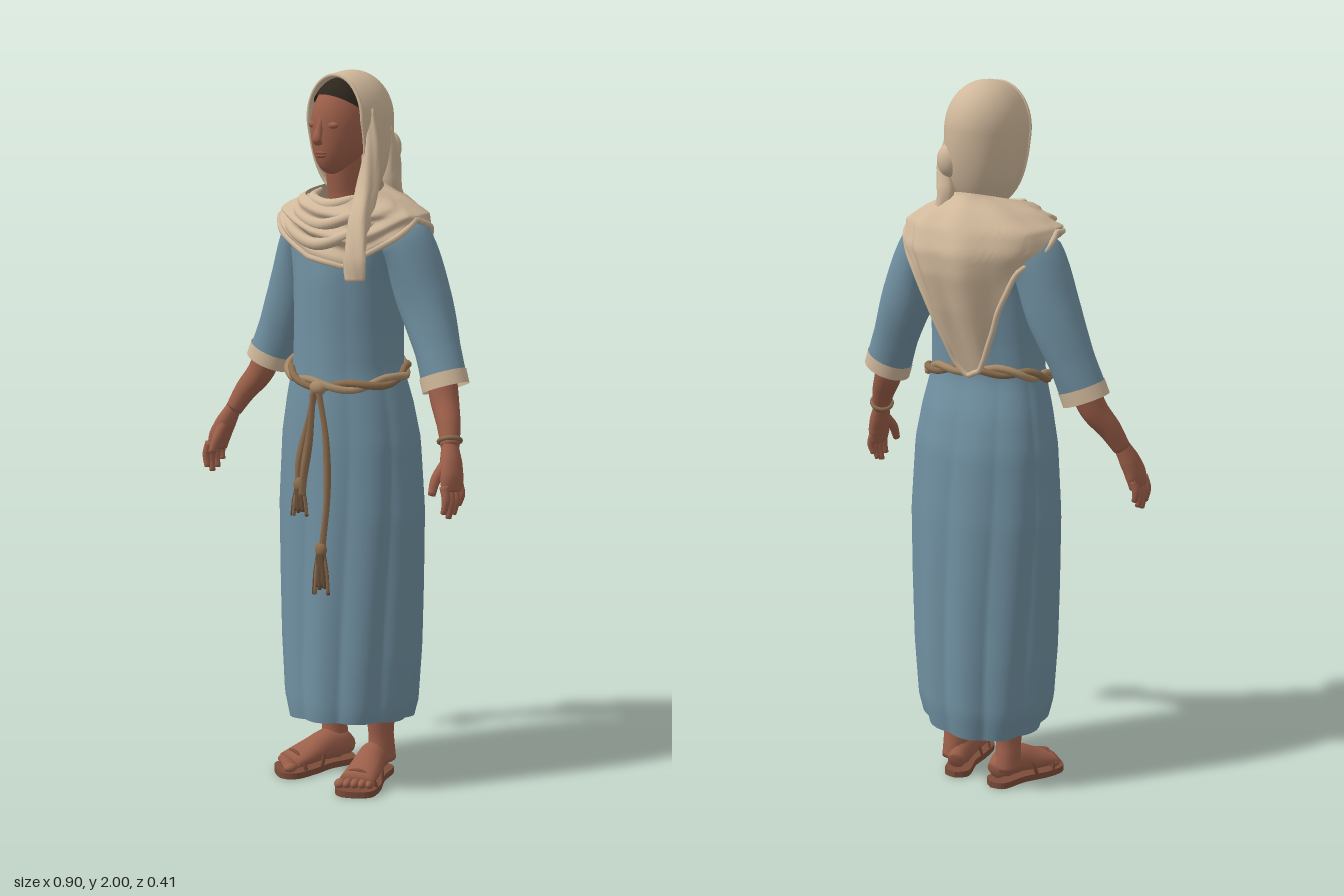
import * as THREE from 'three';

const mat = (name, color, side = THREE.FrontSide) => {
  const m = new THREE.MeshStandardMaterial({ color, side });
  m.name = name;
  return m;
};
const V = (x, y, z) => new THREE.Vector3(x, y, z);
const { lerp, clamp } = THREE.MathUtils;

// Linear lookup in rows of [key, value, value...]
function look(rows, key) {
  let i = 0;
  while (i < rows.length - 2 && key > rows[i + 1][0]) i++;
  const [a, b] = [rows[i], rows[i + 1]];
  const t = clamp((key - a[0]) / (b[0] - a[0]), 0, 1);
  return a.slice(1).map((n, k) => lerp(n, b[k + 1], t));
}

// Surface closed around u, open along v
function wrap(fn, nu, nv) {
  const pos = [], idx = [];
  for (let j = 0; j <= nv; j++)
    for (let i = 0; i < nu; i++) pos.push(...fn((i / nu) * Math.PI * 2, j / nv).toArray());
  for (let j = 0; j < nv; j++)
    for (let i = 0; i < nu; i++) {
      const a = j * nu + i, b = j * nu + ((i + 1) % nu);
      idx.push(a, b, b + nu, a, b + nu, a + nu);
    }
  const g = new THREE.BufferGeometry();
  g.setAttribute('position', new THREE.Float32BufferAttribute(pos, 3));
  g.setIndex(idx);
  g.computeVertexNormals();
  return g;
}

// Oval section swept along points; each row is [x, y, z, width radius, depth radius]
function sweep(rows, { sides = 16, n = 24, cap = true, ref = V(0, 0, 1), wave = 0 } = {}) {
  const curve = new THREE.CatmullRomCurve3(rows.map(r => V(r[0], r[1], r[2])));
  const radii = rows.map((r, i) => [i / (rows.length - 1), r[3], r[4] ?? r[3]]);
  return wrap((a, v) => {
    const j = Math.round(v * n);
    const t = cap ? clamp((j - 1) / (n - 2), 0, 1) : v;
    const T = curve.getTangent(t), U = ref.clone().cross(T).normalize(), W = T.clone().cross(U);
    const [ra, rb] = look(radii, t);
    const k = cap && (j === 0 || j === n) ? 0 : 1 + wave * Math.sin(a * 4 + t * 9);
    return curve.getPoint(t).addScaledVector(U, ra * k * Math.cos(a)).addScaledVector(W, rb * k * Math.sin(a));
  }, sides, n);
}

const oval = (phi, y, rx, front, back) =>
  V(rx * Math.sin(phi), y, Math.cos(phi) * (Math.cos(phi) > 0 ? front : back));

// Dress: height, half width, front depth, back depth
const DRESS = [
  [0.16, 0.172, 0.18, 0.165], [0.24, 0.194, 0.187, 0.177], [0.4, 0.208, 0.183, 0.177],
  [0.6, 0.216, 0.178, 0.173], [0.8, 0.221, 0.174, 0.168], [1.0, 0.21, 0.168, 0.153],
  [1.1, 0.192, 0.163, 0.13], [1.2, 0.168, 0.156, 0.095], [1.3, 0.164, 0.153, 0.102],
  [1.45, 0.168, 0.152, 0.118], [1.55, 0.19, 0.142, 0.125], [1.6, 0.19, 0.11, 0.12], [1.63, 0.12, 0.06, 0.09],
];
function dressPoint(phi, y, grow = 0) {
  const [rx, f, b] = look(DRESS, y);
  const h = clamp((1.25 - y) / 0.8, 0, 1);
  const k = 1 + (0.016 + 0.055 * h) * (Math.abs(Math.sin(5 * phi + 0.5 + 0.25 * Math.sin(y * 4))) - 0.7);
  return oval(phi, y, rx * k + grow, f * k + grow, b * k + grow);
}

// Shawl: outline by height, and lower edge by angle from the front towards the left
const SHAWL = [
  [1.2, 0.17, 0.17, 0.115], [1.3, 0.172, 0.168, 0.145], [1.4, 0.178, 0.17, 0.175], [1.5, 0.205, 0.178, 0.198],
  [1.56, 0.232, 0.168, 0.2], [1.62, 0.222, 0.145, 0.175], [1.66, 0.155, 0.118, 0.145], [1.7, 0.075, 0.09, 0.1],
];
const EDGE = [
  [0, 1.51], [30, 1.49], [60, 1.555], [90, 1.61], [125, 1.58], [150, 1.42], [167, 1.31], [176, 1.24],
  [186, 1.215], [200, 1.235], [215, 1.34], [235, 1.52], [270, 1.61], [300, 1.6], [335, 1.55], [360, 1.51],
];
function shawlPoint(phi, v) {
  const y = lerp(look(EDGE, phi * 180 / Math.PI)[0], 1.685 - 0.025 * Math.cos(phi), v);
  const [rx, f, b] = look(SHAWL, y);
  const front = Math.max(0, Math.cos(phi));
  const d = Math.sin(Math.PI * v) * (0.014 * front * Math.sin(v * 17 + 2 * Math.sin(phi))
    + 0.009 * (1 - front) * Math.sin(9 * phi + 5 * v));
  return oval(phi, y, rx + d, f + d, b + d);
}

// Hood: unit dome drawn down to the neck, its front edge falling back below the chin
function hoodPoint(x, y, z) {
  const low = Math.max(0, -y), fold = 1 + 0.035 * low * Math.sin(z * 11 + y * 5);
  return V(x * 0.106 * (1 + 0.15 * low) * fold, 1.87 + y * (y > 0 ? 0.13 : 0.23),
    z * (z > 0 ? 0.165 - 0.1 * low : 0.124) * fold);
}

export function createModel() {
  const root = new THREE.Group();
  root.name = 'robedWoman';
  const blue = mat('dressBlue', 0x7090a1, THREE.DoubleSide);
  const cream = mat('shawlCream', 0xd0b89b, THREE.DoubleSide);
  const skin = mat('skin', 0x9c5f4a);
  const lip = mat('lips', 0x8f5341);
  const dark = mat('hairDark', 0x2e261e, THREE.DoubleSide);
  const rope = mat('ropeBrown', 0x8b6c4d);
  const tan = mat('ropeTan', 0xa58867);
  const tasselBrown = mat('tasselBrown', 0x654d38);
  const leather = mat('sandalLeather', 0x7b4b39);

  const add = (name, geo, m, parent = root) => {
    const mesh = new THREE.Mesh(geo, m);
    mesh.name = name;
    parent.add(mesh);
    return mesh;
  };
  const ball = (name, m, [x, y, z], [a, b, c], parent) =>
    add(name, new THREE.SphereGeometry(1, 24, 16).scale(a, b, c).translate(x, y, z), m, parent);

  // Dress
  add('dress', wrap((p, v) => {
    const hem = 0.187 + 0.018 * Math.cos(p) + 0.015 * Math.sin(p);
    return dressPoint(p, lerp(hem, 1.63, v));
  }, 160, 60), blue);

  // Head with the jaw narrowed and brought forward, neck and face
  const headGeo = new THREE.SphereGeometry(1, 32, 24);
  const hp = headGeo.attributes.position;
  for (let i = 0; i < hp.count; i++) {
    const low = Math.max(0, -hp.getY(i));
    hp.setX(i, hp.getX(i) * (1 - 0.15 * low * low));
    hp.setZ(i, hp.getZ(i) + 0.42 * low * low);
  }
  headGeo.scale(0.078, 0.125, 0.09).translate(0, 1.85, 0.043).computeVertexNormals();
  add('head', headGeo, skin);
  add('neck', sweep([[0, 1.58, 0.01, 0.06], [0, 1.68, 0.028, 0.048], [0, 1.78, 0.038, 0.05]]), skin);
  add('nose', sweep([[0, 1.875, 0.124, 0.008], [0, 1.845, 0.134, 0.01], [0, 1.82, 0.143, 0.015, 0.011], [0, 1.808, 0.136, 0.012, 0.007]]), skin);
  ball('upperLip', lip, [0, 1.784, 0.129], [0.02, 0.005, 0.009]);
  ball('lowerLip', lip, [0, 1.776, 0.128], [0.017, 0.006, 0.009]);
  for (const s of [1, -1]) ball('eyelid', skin, [s * 0.032, 1.858, 0.117], [0.019, 0.01, 0.011]);
  add('hair', new THREE.SphereGeometry(1.07, 32, 20, 0, Math.PI * 2, 0, Math.PI * 0.4)
    .rotateX(-0.42).scale(0.078, 0.123, 0.09).translate(0, 1.85, 0.045), dark);

  // Hood, cut open around the face, with a thin rim
  const hood = new THREE.SphereGeometry(1, 48, 36, 0, Math.PI * 2, 0, Math.PI * 0.64).rotateX(-Math.PI / 2);
  const p = hood.attributes.position;
  for (let i = 0; i < p.count; i++) p.setXYZ(i, ...hoodPoint(p.getX(i), p.getY(i), p.getZ(i)).toArray());
  hood.computeVertexNormals();
  add('hood', hood, cream);
  const rim = Array.from({ length: 32 }, (_, i) => {
    const a = (i / 32) * Math.PI * 2;
    return hoodPoint(Math.cos(a) * 0.905, Math.sin(a) * 0.905, 0.426);
  });
  add('hoodRim', new THREE.TubeGeometry(new THREE.CatmullRomCurve3(rim, true), 64, 0.005, 8, true), cream);
  ball('hoodKnot', cream, [0.06, 1.79, -0.085], [0.036, 0.045, 0.032]);
  add('hoodTwist', sweep([[0.09, 1.85, -0.045, 0.01], [0.088, 1.78, -0.065, 0.02], [0.075, 1.71, -0.08, 0.026], [0.08, 1.64, -0.1, 0.02]], { wave: 0.12 }), cream);

  // Shawl with rolled lower edge, front folds and hanging end
  add('shawl', wrap(shawlPoint, 144, 30), cream);
  const edge = Array.from({ length: 60 }, (_, i) => shawlPoint((i / 60) * Math.PI * 2, 0));
  add('shawlEdge', new THREE.TubeGeometry(new THREE.CatmullRomCurve3(edge, true), 160, 0.008, 8, true), cream);
  [[0.095, 1.675, 1.645, 0.115], [0.14, 1.655, 1.595, 0.15], [0.17, 1.63, 1.545, 0.168]].forEach(([w, top, dip, z]) =>
    add('cowlFold', sweep([[-w, top, 0.02, 0.005], [-w * 0.65, lerp(top, dip, 0.55), z * 0.78, 0.014], [0.02, dip, z, 0.017],
      [w * 0.75, lerp(top, dip, 0.55), z * 0.78, 0.014], [w, top, 0.02, 0.005]], { ref: V(0, 1, 0), n: 32 }), cream));
  add('shawlEnd', sweep([[0.092, 1.9, 0.03, 0.01], [0.104, 1.8, 0.04, 0.02], [0.112, 1.7, 0.065, 0.028],
    [0.132, 1.6, 0.125, 0.03, 0.024], [0.145, 1.51, 0.158, 0.036, 0.02], [0.15, 1.455, 0.162, 0.028, 0.014]], { wave: 0.15, sides: 24, n: 36 }), cream);

  // Rope belt: two twisted strands, knot, cords and tassels
  for (const s of [1, -1]) {
    const pts = Array.from({ length: 72 }, (_, i) => {
      const a = (i / 72) * Math.PI * 2;
      return dressPoint(a, 1.195 - 0.032 * Math.cos(a) - 0.012 * Math.sin(a) + s * 0.009 * Math.cos(5 * a), 0.007 + s * 0.005 * Math.sin(5 * a));
    });
    add('beltStrand', new THREE.TubeGeometry(new THREE.CatmullRomCurve3(pts, true), 160, 0.0105, 8, true), s > 0 ? tan : rope);
  }
  ball('beltKnot', tan, [0.025, 1.155, 0.17], [0.026, 0.02, 0.018]);
  const cord = rows => add('cord', sweep(rows, { sides: 8, n: 30, wave: 0.15 }), rope);
  cord([[0.02, 1.15, 0.174, 0.009], [-0.01, 1.04, 0.176, 0.01], [-0.035, 0.94, 0.18, 0.011], [-0.037, 0.85, 0.184, 0.012]]);
  cord([[0.015, 1.15, 0.178, 0.009], [0.004, 1.03, 0.18, 0.01], [-0.012, 0.93, 0.184, 0.011], [-0.022, 0.85, 0.186, 0.012]]);
  cord([[0.03, 1.15, 0.174, 0.009], [0.056, 1.02, 0.174, 0.009], [0.062, 0.85, 0.177, 0.009], [0.05, 0.7, 0.186, 0.011]]);
  for (const [x, y, z, len] of [[-0.03, 0.88, 0.186, 0.09], [0.05, 0.71, 0.188, 0.13]]) {
    ball('tasselKnot', rope, [x, y, z], [0.018, 0.022, 0.014]);
    add('tasselCore', sweep([[x, y, z, 0.012], [x, y - len * 0.8, z, 0.024, 0.014]], { n: 8 }), tasselBrown);
    for (let i = 0; i < 9; i++) {
      const a = (i / 9) * Math.PI * 2, c = Math.cos(a), d = Math.sin(a);
      add('tasselStrand', sweep([[x + c * 0.007, y, z + d * 0.004, 0.006], [x + c * 0.018, y - len * 0.5, z + d * 0.009, 0.007],
        [x + c * 0.026, y - len * (0.9 + 0.1 * Math.sin(i * 5)), z + d * 0.011, 0.005]], { sides: 6, n: 8 }), i % 3 ? tasselBrown : rope);
    }
  }

  for (const s of [1, -1]) {
    const side = s > 0 ? 'left' : 'right';
    const m = rows => rows.map(([x, ...r]) => [s * x, ...r]);

    // Sleeve and cuff
    add(side + 'Sleeve', sweep(m([[0.11, 1.59, -0.01, 0.04, 0.06], [0.17, 1.545, -0.02, 0.07, 0.088], [0.235, 1.39, -0.028, 0.074, 0.072],
      [0.285, 1.27, -0.02, 0.067, 0.06], [0.32, 1.178, -0.01, 0.066, 0.054]]), { cap: false, sides: 32, n: 36, wave: 0.025 }), blue);
    add(side + 'Cuff', sweep(m([[0.311, 1.202, -0.012, 0.069, 0.058], [0.325, 1.165, -0.009, 0.069, 0.058]]), { cap: false, sides: 32, n: 4 }), cream);

    // Arm and hand
    add(side + 'Forearm', sweep(m([[0.29, 1.27, -0.015, 0.045], [0.335, 1.14, 0.01, 0.039], [0.372, 1.08, 0.038, 0.032],
      [0.397, 1.025, 0.062, 0.024, 0.026]])), skin);
    add(side + 'Palm', sweep(m([[0.392, 1.04, 0.058, 0.02, 0.022], [0.412, 0.99, 0.077, 0.026, 0.034], [0.425, 0.95, 0.09, 0.025, 0.04],
      [0.431, 0.915, 0.096, 0.019, 0.037]])), skin);
    [0, 1, 2, 3].forEach(i => {
      const z = 0.066 + i * 0.021, tip = [0.875, 0.855, 0.847, 0.862][i];
      add(side + 'Finger', sweep(m([[0.43, 0.935, z, 0.012], [0.44, lerp(0.935, tip, 0.5), z + 0.003, 0.0115], [0.434, tip, z + 0.006, 0.008]]), { sides: 10, n: 12 }), skin);
    });
    add(side + 'Thumb', sweep(m([[0.408, 0.99, 0.09, 0.016], [0.402, 0.95, 0.128, 0.014], [0.404, 0.91, 0.148, 0.01]]), { sides: 10, n: 12 }), skin);

    // Leg, foot and sandal
    const x0 = s > 0 ? 0.075 : 0.102;
    add(side + 'Leg', sweep([[s * x0, 0.5, -0.01, 0.058], [s * x0, 0.25, -0.035, 0.047], [s * x0, 0.13, -0.04, 0.036], [s * x0, 0.05, -0.045, 0.037, 0.044]]), skin);
    const foot = new THREE.Group();
    foot.name = side + 'Foot';
    foot.position.set(s * x0, 0, 0);
    foot.rotation.y = s * 0.29;
    root.add(foot);
    add('footBody', sweep([[0, 0.045, -0.085, 0.024, 0.024], [0, 0.06, -0.05, 0.036, 0.044], [0, 0.064, 0, 0.04, 0.045],
      [s * 0.004, 0.049, 0.06, 0.048, 0.032], [s * 0.004, 0.036, 0.12, 0.051, 0.02]], { ref: V(0, 1, 0) }), skin, foot);
    for (let i = 0; i < 5; i++)
      ball('toe', skin, [s * (-0.036 + i * 0.02), 0.031, 0.14 - i * 0.007], [i ? 0.012 : 0.016, 0.013, 0.021], foot);
    const outline = [[0, -0.098], [0.036, -0.075], [0.04, 0], [0.06, 0.08], [0.052, 0.14], [-0.02, 0.165], [-0.056, 0.13], [-0.05, 0.06], [-0.036, 0], [-0.036, -0.075]];
    const shape = new THREE.Shape(new THREE.SplineCurve([...outline, outline[0]].map(([x, y]) => new THREE.Vector2(s * x, y))).getPoints(50));
    add('sandalSole', new THREE.ExtrudeGeometry(shape, { depth: 0.018, bevelEnabled: false }).rotateX(Math.PI / 2).translate(0, 0.018, 0), leather, foot);
    for (const [z, w, h, t] of [[0.095, 0.053, 0.049, 0.2], [0.04, 0.046, 0.076, -0.35]])
      add('sandalStrap', new THREE.TorusGeometry(1, 0.07, 8, 28, Math.PI).scale(w, h, 0.09).rotateX(t).translate(s * 0.003, 0.015, z), leather, foot);
  }

  // Bracelet on the left wrist
  const bracelet = add('bracelet', new THREE.TorusGeometry(0.029, 0.006, 10, 28), rope);
  bracelet.position.set(0.39, 1.04, 0.055);
  bracelet.quaternion.setFromUnitVectors(V(0, 0, 1), V(0.35, -0.85, 0.35).normalize());
  return root;
}
